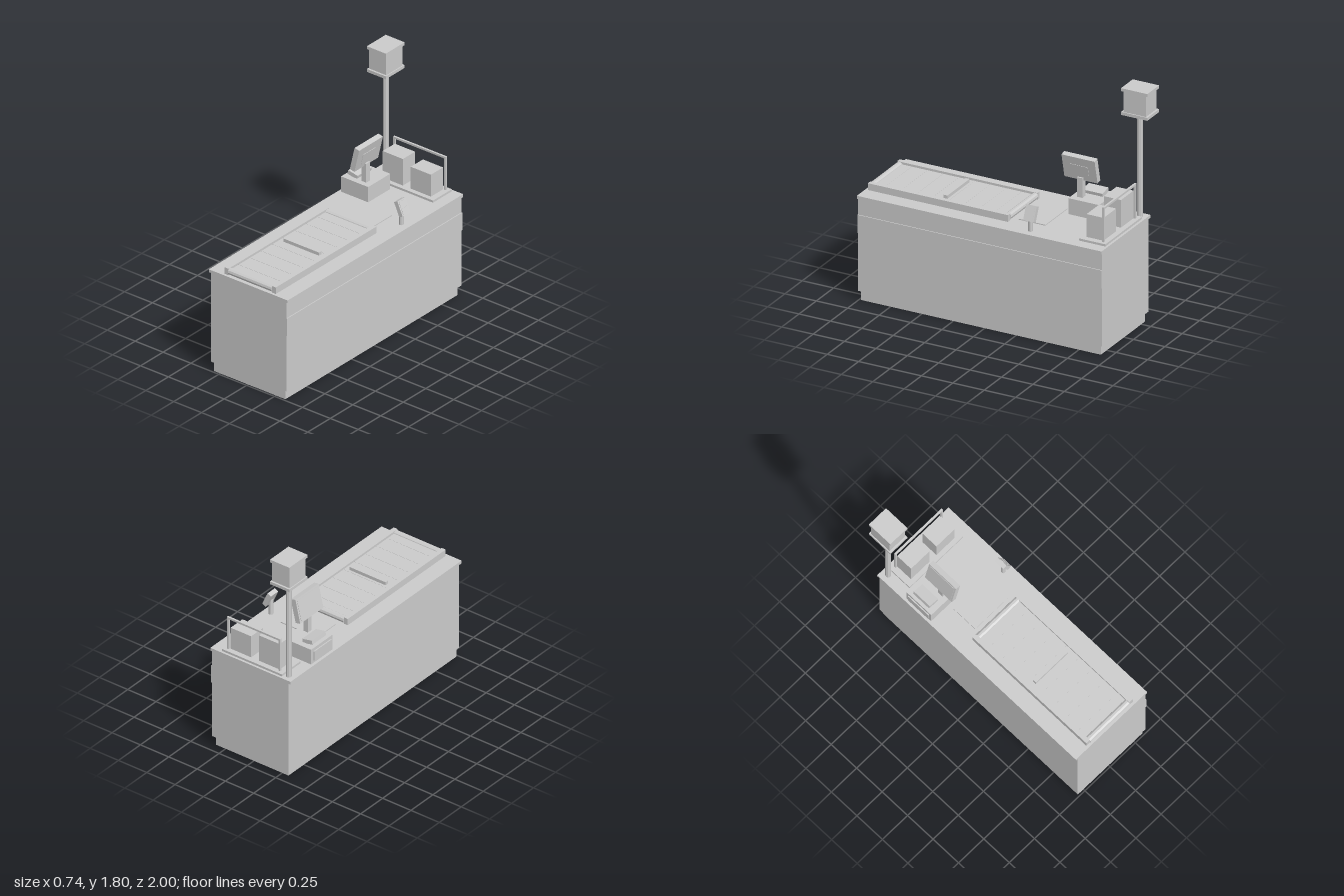
import * as THREE from 'three';

const grey = new THREE.MeshStandardMaterial({ color: 0xcccccc, flatShading: true });

export function createModel() {
  const root = new THREE.Group();
  root.name = 'checkoutCounter';

  const add = (parent, name, geometry, x, y, z) => {
    const mesh = new THREE.Mesh(geometry, grey);
    mesh.name = name;
    mesh.position.set(x, y, z);
    parent.add(mesh);
    return mesh;
  };
  // Box given by its extents
  const box = (parent, name, x0, x1, y0, y1, z0, z1) =>
    add(parent, name, new THREE.BoxGeometry(x1 - x0, y1 - y0, z1 - z0),
      (x0 + x1) / 2, (y0 + y1) / 2, (z0 + z1) / 2);
  const post = (parent, name, r, x, y0, y1, z, sides = 8) =>
    add(parent, name, new THREE.CylinderGeometry(r, r, y1 - y0, sides), x, (y0 + y1) / 2, z);
  const group = (name, x = 0, y = 0, z = 0, tilt = 0) => {
    const g = new THREE.Group();
    g.name = name;
    g.position.set(x, y, z);
    g.rotation.z = tilt;
    root.add(g);
    return g;
  };

  // Counter
  const counter = group('counter');
  box(counter, 'plinth', -0.305, 0.335, 0, 0.075, -0.925, 0.985);
  box(counter, 'cabinet', -0.32, 0.355, 0.075, 0.785, -0.945, 0.998);
  box(counter, 'sideBand', 0.35, 0.362, 0.52, 0.66, -0.945, 0.998);
  box(counter, 'worktop', -0.34, 0.367, 0.785, 0.808, -0.948, 1);

  // Conveyor belt between two rails, with a roller at each end
  const conveyor = group('conveyor');
  box(conveyor, 'leftRail', 0.21, 0.245, 0.808, 0.86, -0.135, 0.98);
  box(conveyor, 'rightRail', -0.215, -0.18, 0.808, 0.86, -0.135, 0.98);
  box(conveyor, 'belt', -0.18, 0.21, 0.808, 0.843, -0.11, 0.955);
  for (const z of [-0.117, 0.962]) {
    const roller = add(conveyor, 'roller', new THREE.CylinderGeometry(0.026, 0.026, 0.39, 10), 0.015, 0.833, z);
    roller.rotation.z = Math.PI / 2;
  }
  for (let i = 0; i < 8; i++) {
    const z = -0.01 + i * 0.125;
    box(conveyor, 'beltSeam', -0.18, 0.21, 0.842, 0.8445, z - 0.002, z + 0.002);
  }
  box(conveyor, 'goodsDivider', -0.145, 0.175, 0.843, 0.868, 0.385, 0.415);

  // Scanner plate set in the worktop
  box(root, 'scannerPlate', -0.145, 0.175, 0.806, 0.815, -0.395, -0.18);

  // Cash register
  const register = group('cashRegister');
  box(register, 'registerBase', -0.318, -0.075, 0.808, 0.93, -0.685, -0.44);
  box(register, 'cashDrawer', -0.327, -0.31, 0.83, 0.905, -0.66, -0.46);
  box(register, 'monitorStand', -0.165, -0.125, 0.93, 1.08, -0.525, -0.48);
  const keypad = group('keypad', -0.25, 0.947, -0.562, -0.2);
  box(keypad, 'keypadBody', -0.043, 0.043, -0.016, 0.016, -0.078, 0.078);

  // Tilted monitor, its screen towards the cashier
  const monitor = group('monitor', -0.143, 1.154, -0.503, -0.23);
  box(monitor, 'monitorBody', -0.02, 0.022, -0.094, 0.094, -0.132, 0.132);
  box(monitor, 'screen', -0.023, -0.018, -0.08, 0.08, -0.118, 0.118);
  box(monitor, 'rearPanel', 0.02, 0.025, -0.055, 0.03, -0.07, 0.07);

  // Card terminal on a short post, facing the customer
  post(root, 'terminalPost', 0.017, 0.3, 0.808, 0.93, -0.345);
  const terminal = group('cardTerminal', 0.302, 0.943, -0.35, 0.42);
  box(terminal, 'terminalBody', -0.017, 0.017, -0.057, 0.057, -0.042, 0.042);
  box(terminal, 'terminalScreen', 0.016, 0.02, 0.008, 0.048, -0.031, 0.031);
  box(terminal, 'terminalKeys', 0.016, 0.02, -0.045, -0.004, -0.031, 0.031);

  // Bagging area with rack and bags
  const bagging = group('baggingArea');
  box(bagging, 'baggingPlatform', -0.25, 0.28, 0.808, 0.825, -0.93, -0.72);
  for (const x of [-0.215, 0.24])
    box(bagging, 'rackUpright', x, x + 0.015, 0.825, 1.09, -0.905, -0.89);
  box(bagging, 'rackBar', -0.215, 0.255, 1.075, 1.09, -0.905, -0.89);
  box(bagging, 'tallBag', -0.2, -0.018, 0.825, 1.037, -0.89, -0.755);
  box(bagging, 'shortBag', 0.052, 0.233, 0.825, 1, -0.89, -0.755);

  // Lane light on a pole
  const light = group('laneLight');
  post(light, 'lightPole', 0.021, -0.285, 0.808, 1.6, -0.895);
  box(light, 'lightBox', -0.362, -0.208, 1.61, 1.785, -0.985, -0.805);
  for (const y of [1.595, 1.777])
    box(light, 'lightCap', -0.37, -0.2, y, y + 0.023, -1, -0.79);

  return root;
}
